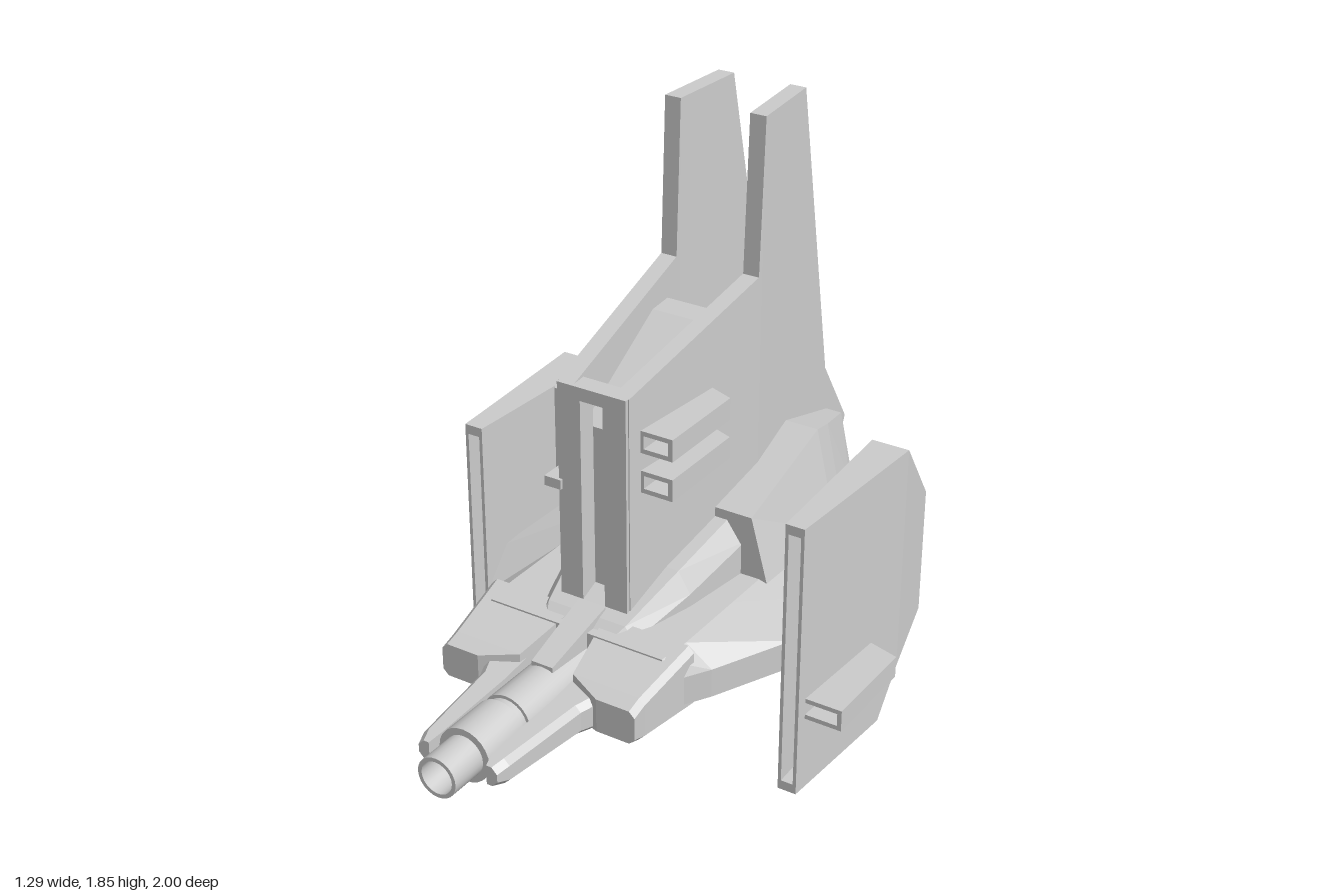
import * as THREE from 'three';
import { toCreasedNormals } from 'three/addons/utils/BufferGeometryUtils.js';

const material = new THREE.MeshStandardMaterial({ color: 0xcccccc, flatShading: true });
const smooth = new THREE.MeshStandardMaterial({ color: 0xcccccc });
const V = (x, y) => new THREE.Vector2(x, y);
const lerp = THREE.MathUtils.lerp;

export function createModel() {
  const model = new THREE.Group();
  const ship = new THREE.Group();
  ship.name = 'craft';
  ship.position.x = -0.047;
  model.add(ship);

  function add(name, geometry, mat = material) {
    const mesh = new THREE.Mesh(geometry, mat);
    mesh.name = name;
    ship.add(mesh);
    return mesh;
  }

  // Skin over closed rings [z, [[x, y]...]] running front to back, counterclockwise from the front
  function loft(sections) {
    const pos = [];
    const pt = (i, j) => {
      const [z, ring] = sections[i];
      const p = ring[j % ring.length];
      return [p[0], p[1], z];
    };
    const n = sections[0][1].length, last = sections.length - 1;
    for (let i = 0; i < last; i++) {
      for (let j = 0; j < n; j++) {
        const a = pt(i, j), b = pt(i, j + 1), c = pt(i + 1, j), d = pt(i + 1, j + 1);
        pos.push(...a, ...c, ...b, ...b, ...c, ...d);
      }
    }
    for (let j = 1; j < n - 1; j++) {
      pos.push(...pt(0, 0), ...pt(0, j), ...pt(0, j + 1));
      pos.push(...pt(last, 0), ...pt(last, j + 1), ...pt(last, j));
    }
    const g = new THREE.BufferGeometry();
    g.setAttribute('position', new THREE.Float32BufferAttribute(pos, 3));
    g.computeVertexNormals();
    return g;
  }
  const flip = (ring) => ring.map(([x, y]) => [-x, y]).reverse();
  const both = (half) => [...half, ...flip(half)];

  // Slab with a side profile of [z, y] points, centred on x
  function slab(profile, thickness) {
    const g = new THREE.ExtrudeGeometry(new THREE.Shape(profile.map(([z, y]) => V(z, y))), { depth: thickness, bevelEnabled: false });
    return g.translate(0, 0, -thickness / 2).rotateY(-Math.PI / 2);
  }
  // Rectangular frame in x and y, extruded along z
  function frame(x0, x1, y0, y1, z0, z1, tx, ty = tx) {
    const rect = (a, b, c, d) => [V(a, c), V(b, c), V(b, d), V(a, d)];
    const s = new THREE.Shape(rect(x0, x1, y0, y1));
    s.holes.push(new THREE.Path(rect(x0 + tx, x1 - tx, y0 + ty, y1 - ty)));
    return new THREE.ExtrudeGeometry(s, { depth: z1 - z0, bevelEnabled: false }).translate(0, 0, z0);
  }
  function box(name, x0, x1, y0, y1, z0, z1) {
    add(name, new THREE.BoxGeometry(x1 - x0, y1 - y0, z1 - z0).translate((x0 + x1) / 2, (y0 + y1) / 2, (z0 + z1) / 2));
  }
  // Move vertices by a rule and refresh the normals
  function warp(g, rule) {
    const p = g.attributes.position;
    for (let i = 0; i < p.count; i++) {
      const [x, y, z] = rule(p.getX(i), p.getY(i), p.getZ(i));
      p.setXYZ(i, x, y, z);
    }
    g.computeVertexNormals();
    return g;
  }

  // Wide flat wing
  const wing = [[0.36, 0.32], [0.25, 0.385], [0, 0.5], [-0.3, 0.52], [-0.66, 0.51], [-0.73, 0.335]];
  add('wing', loft(wing.map(([z, w]) => {
    const inner = Math.min(0.3, w - 0.03);
    return [z, both([[inner, z < -0.7 ? 0.37 : 0.33], [w, 0.37], [w, 0.46], [inner, z < -0.7 ? 0.47 : 0.52]])];
  })));

  // Rear hull with sloped shoulders: [z, bottom y, bottom half, side half, side y, top half, top y]
  const hull = [
    [-0.15, 0.33, 0.2, 0.335, 0.48, 0.27, 0.715],
    [-0.55, 0.22, 0.2, 0.335, 0.5, 0.26, 0.825],
    [-0.66, 0.21, 0.16, 0.3, 0.5, 0.235, 0.79],
    [-0.85, 0.34, 0.13, 0.22, 0.5, 0.18, 0.73],
    [-0.93, 0.48, 0.12, 0.18, 0.5, 0.16, 0.58],
  ];
  add('rearHull', loft(hull.map(([z, yb, b, w, ym, t, yt]) => [z, both([[b, yb], [w, ym], [t, yt]])])));

  // Belly and collar around the tower foot
  add('belly', loft([
    [0.3, both([[0.135, 0.255], [0.16, 0.3], [0.16, 0.36]])],
    [-0.06, both([[0.21, 0.155], [0.225, 0.26], [0.225, 0.36]])],
    [-0.28, both([[0.2, 0.17], [0.22, 0.26], [0.22, 0.36]])],
    [-0.36, both([[0.17, 0.27], [0.18, 0.3], [0.18, 0.36]])],
  ]));
  box('bellyBlock', -0.04, 0.04, 0.24, 0.32, 0.2, 0.33);
  add('collar', loft([
    [0.36, both([[0.13, 0.4], [0.13, 0.48], [0.1, 0.5]])],
    [0.3, both([[0.16, 0.4], [0.16, 0.5], [0.13, 0.54]])],
    [0.085, both([[0.21, 0.42], [0.21, 0.56], [0.17, 0.625]])],
    [-0.17, both([[0.24, 0.45], [0.24, 0.62], [0.19, 0.69]])],
  ]));

  // Tower side plates rising into twin fins, widest at the fin front
  const towerHalf = (z) => (z > -0.36 ? lerp(0.165, 0.115, (z + 0.36) / 0.61) : lerp(0.165, 0.115, (-0.36 - z) / 0.64));
  const platePart = [[0.25, 0.48], [0.25, 1.225], [-0.335, 1.37], [-0.36, 1.375], [-0.36, 0.48]];
  const finPart = [[-0.36, 0.48], [-0.345, 1.37], [-0.365, 1.845], [-0.62, 1.85], [-0.83, 0.88], [-1, 0.64], [-0.93, 0.5]];
  for (const s of [1, -1]) {
    for (const [name, profile] of [['towerPlate', platePart], ['towerFin', finPart]]) {
      add(name, warp(slab(profile, 0.052), (x, y, z) => [x + s * (towerHalf(z) - 0.026), y, z]));
    }
  }
  // Tower core with sunken top, slotted front
  const core = [[0.2, 0.48], [0.2, 1.08], [-0.2, 1.265], [-0.29, 1.265], [-0.35, 1], [-0.6, 0.82], [-0.9, 0.62], [-0.9, 0.5]];
  add('towerCore', warp(slab(core, 2), (x, y, z) => [x * (towerHalf(z) - 0.03), y, z]));
  add('towerFront', frame(-0.112, 0.112, 0.5, 1.225, 0.2, 0.262, 0.075, 0.04));

  // Hollow launchers with a chamfered rear end
  function launcher(name, x0, x1, y0, y1, z0, z1) {
    add(name, warp(frame(x0, x1, y0, y1, z0, z1, 0.014), (x, y, z) => [x, y, z < z0 + 0.01 && x > (x0 + x1) / 2 ? z + 0.04 : z]));
    box(name + 'Plug', x0 + 0.01, x1 - 0.012, y0 + 0.01, y1 - 0.01, z0 + 0.04, z1 - 0.1);
  }
  for (const y of [0.92, 1.043]) launcher('towerLauncher', 0.115, 0.222, y, y + 0.068, -0.14, 0.2);
  launcher('panelLauncher', 0.55, 0.692, 0.25, 0.318, -0.32, 0.05);
  // Equipment plate and sensor on the other side of the tower
  add('sidePlate', loft([
    [0.2, [[-0.1, 0.87], [-0.1, 1.165], [-0.165, 1.165], [-0.165, 0.87]]],
    [0.17, [[-0.1, 0.87], [-0.1, 1.165], [-0.18, 1.165], [-0.18, 0.87]]],
    [-0.15, [[-0.1, 0.87], [-0.1, 1.165], [-0.18, 1.165], [-0.18, 0.87]]],
  ]));
  box('sensor', -0.155, -0.1, 0.895, 0.925, 0.15, 0.272);

  // Side panels: thickest at z = -0.47, with a grooved front edge
  const panelHalf = (z) => (z > -0.47 ? lerp(0.06, 0.03, (z + 0.47) / 0.555) : lerp(0.06, 0.028, (-0.47 - z) / 0.2));
  const widen = (x, y, z) => [x * panelHalf(z), y, z];
  for (const s of [1, -1]) {
    const pieces = [
      slab([[0, 0.005], [0, 0.887], [-0.47, 0.89], [-0.47, 0.15], [-0.37, 0.005]], 2),
      slab([[-0.47, 0.15], [-0.47, 0.89], [-0.67, 0.65], [-0.67, 0.24]], 2),
      frame(-1, 1, 0.005, 0.887, 0, 0.085, 0.35, 0.03),
    ];
    for (const g of pieces) add('sidePanel', warp(g, widen)).position.x = s * 0.543;
  }

  // Front lobes and prongs: [z, inner x, outer x, bottom y, top y]
  const bars = {
    frontLobe: [[0.55, 0.2, 0.325, 0.36, 0.465], [0.5, 0.09, 0.325, 0.345, 0.48], [0.28, 0.05, 0.345, 0.335, 0.535]],
    prong: [[0.91, 0.095, 0.13, 0.365, 0.425], [0.87, 0.085, 0.142, 0.355, 0.435], [0.58, 0.085, 0.17, 0.35, 0.445], [0.45, 0.085, 0.22, 0.345, 0.46]],
  };
  for (const [name, rows] of Object.entries(bars)) {
    const rings = rows.map(([z, a, b, y0, y1]) => {
      const c = 0.018;
      return [z, [[a, y0], [b - c, y0], [b, y0 + c], [b, y1 - c], [b - c, y1], [a, y1]]];
    });
    add(name, loft(rings));
    add(name, loft(rings.map(([z, r]) => [z, flip(r)])));
  }

  // Stepped cannon with open muzzle, and its top rail
  const barrel = [[0, 0.2], [0.08, 0.2], [0.08, 0.69], [0.07, 0.69], [0.07, 0.72], [0.083, 0.72], [0.083, 0.88], [0.062, 0.88], [0.062, 1], [0.05, 1], [0.05, 0.86], [0, 0.86]];
  const gun = new THREE.LatheGeometry(barrel.map(([r, z]) => V(r, z)), 24).rotateX(Math.PI / 2).translate(0, 0.402, 0);
  add('cannon', toCreasedNormals(gun, 0.6), smooth);
  add('cannonRail', loft([
    [0.52, both([[0.035, 0.42], [0.035, 0.49]])],
    [0.27, both([[0.045, 0.42], [0.045, 0.56]])],
  ]));

  return model;
}
